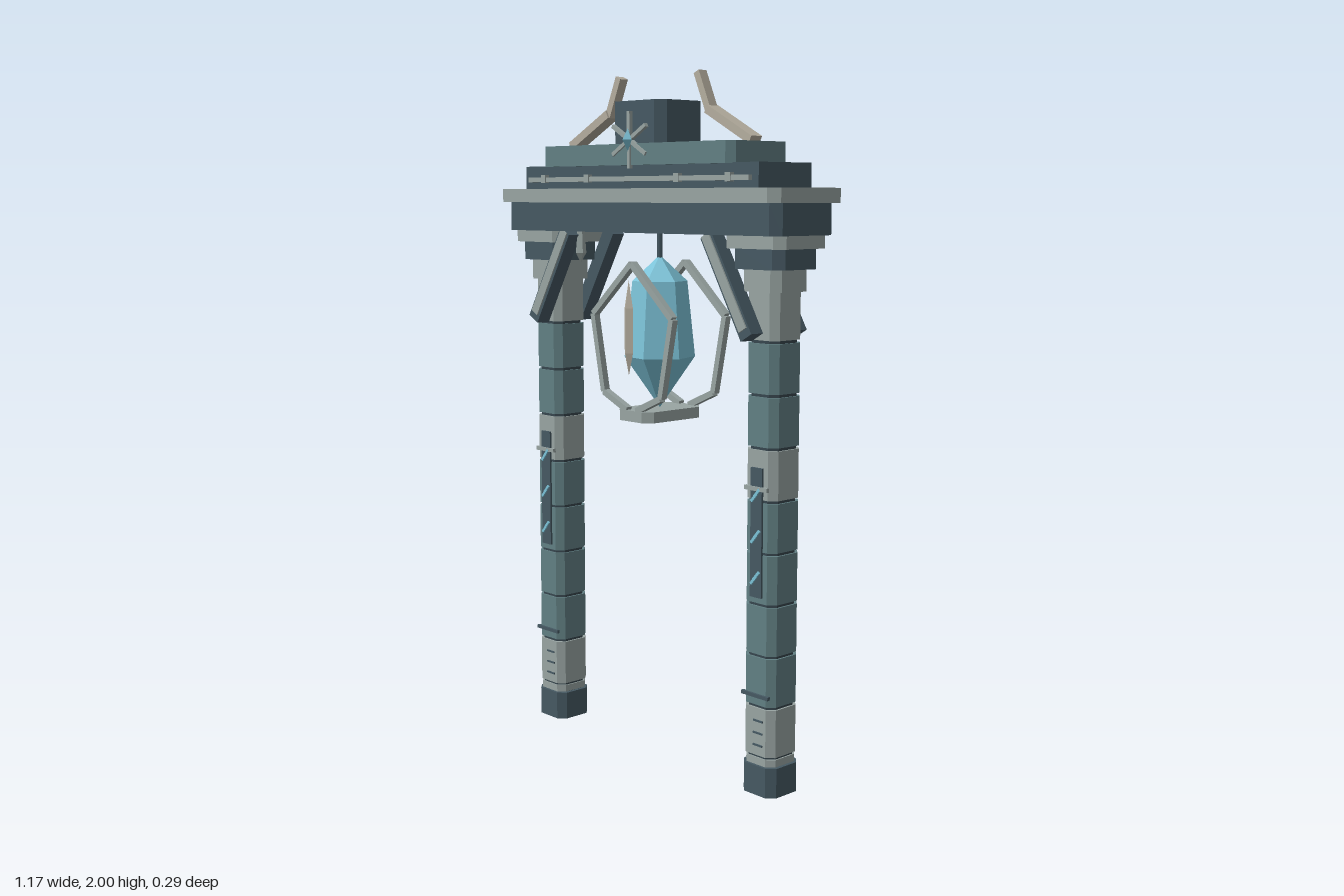
import * as THREE from 'three';

const mat = (name, color) => {
  const m = new THREE.MeshStandardMaterial({ color });
  m.name = name;
  return m;
};

export function createModel() {
  const dark = mat('dark slate', 0x465963);
  const seam = mat('seam slate', 0x37464e);
  const teal = mat('teal stone', 0x628084);
  const light = mat('pale stone', 0x99a5a3);
  const bone = mat('warm bone', 0xb5ae9f);
  const blue = mat('crystal blue', 0x7cc3d8);

  const model = new THREE.Group();
  const add = (parent, name, geo, material, x = 0, y = 0, z = 0) => {
    const mesh = new THREE.Mesh(geo, material);
    mesh.name = name;
    mesh.position.set(x, y, z);
    parent.add(mesh);
    return mesh;
  };
  const group = (name, parent = model) => {
    const g = new THREE.Group();
    g.name = name;
    parent.add(g);
    return g;
  };

  // Block with cut vertical corners, standing from y0 to y1
  const block = (parent, name, material, w, d, y0, y1, c, x = 0, z = 0) => {
    const a = w / 2, b = d / 2;
    const pts = [[a - c, -b], [a, c - b], [a, b - c], [a - c, b], [c - a, b], [-a, b - c], [-a, c - b], [c - a, -b]];
    const shape = new THREE.Shape(pts.map(p => new THREE.Vector2(...p)));
    const geo = new THREE.ExtrudeGeometry(shape, { depth: y1 - y0, bevelEnabled: false });
    geo.rotateX(-Math.PI / 2);
    return add(parent, name, geo, material, x, y0, z);
  };
  const box = (parent, name, material, w, h, d, x, y, z) =>
    add(parent, name, new THREE.BoxGeometry(w, h, d), material, x, y, z);
  // Straight bar between two points in the xy plane
  const bar = (parent, name, material, p, q, w, d, z) => {
    const dx = q[0] - p[0], dy = q[1] - p[1];
    const m = box(parent, name, material, w, Math.hypot(dx, dy), d, (p[0] + q[0]) / 2, (p[1] + q[1]) / 2, z);
    m.rotation.z = Math.atan2(-dx, dy);
    return m;
  };
  const faceted = (profile, sides) => {
    const geo = new THREE.LatheGeometry(profile.map(p => new THREE.Vector2(...p)), sides).toNonIndexed();
    geo.computeVertexNormals();
    return geo;
  };

  // Pillars
  for (const s of [-1, 1]) {
    const px = s * 0.456;
    const pillar = group(s > 0 ? 'leftPillar' : 'rightPillar');
    block(pillar, 'core', seam, 0.104, 0.108, 0.02, 1.5, 0.02, px);
    block(pillar, 'base', dark, 0.125, 0.125, 0, 0.085, 0.022, px);
    block(pillar, 'baseCollar', light, 0.112, 0.116, 0.087, 0.108, 0.02, px);
    for (let i = 0; i < 9; i++) {
      const y = 0.115 + i * 0.1445;
      const material = [0, 5, 8].includes(i) ? light : teal;
      block(pillar, 'stoneBlock', material, 0.115, 0.12, y, y + 0.136, 0.02, px);
    }
    // Stepped capital
    block(pillar, 'capitalNeck', light, 0.14, 0.14, 1.4, 1.46, 0.022, px);
    block(pillar, 'capital', dark, 0.185, 0.17, 1.46, 1.52, 0.025, px);
    block(pillar, 'capitalCap', light, 0.22, 0.2, 1.515, 1.55, 0.025, px);

    for (const f of [-1, 1]) {
      // Inlaid panel with glowing marks
      box(pillar, 'panel', dark, 0.042, 0.36, 0.008, px, 0.745, f * 0.062);
      for (const y of [0.62, 0.735, 0.85]) {
        const z = f * 0.067;
        bar(pillar, 'glowMark', blue, [px - 0.015, y - 0.018], [px + 0.004, y + 0.004], 0.008, 0.008, z);
        bar(pillar, 'glowMark', blue, [px - 0.004, y - 0.004], [px + 0.015, y + 0.018], 0.008, 0.008, z);
      }
      // Diagonal brace
      const p = [s * 0.455, 1.28], q = [s * 0.3, 1.55];
      bar(pillar, 'brace', dark, p, q, 0.045, 0.045, f * 0.087);
      if (f > 0) bar(pillar, 'braceFace', light, [s * 0.445, 1.3], q, 0.03, 0.006, 0.111);
    }
    // Front clasps and carved ticks
    box(pillar, 'clasp', light, 0.085, 0.012, 0.01, px, 0.868, 0.065);
    box(pillar, 'band', dark, 0.1, 0.01, 0.01, px, 0.287, 0.062);
    for (const y of [0.145, 0.18, 0.215])
      box(pillar, 'carvedTick', dark, 0.035, 0.005, 0.005, px + 0.01, y, 0.061);
    // Hanging spike
    add(pillar, 'pendant', faceted([[0, -0.05], [0.017, -0.02], [0.012, 0.05], [0, 0.05]], 5), light, s * 0.285, 1.505, 0.06);
  }

  // Lintel and stepped roof
  const roof = group('roof');
  block(roof, 'lintel', dark, 1.14, 0.24, 1.55, 1.635, 0.025);
  block(roof, 'cornice', light, 1.166, 0.284, 1.635, 1.675, 0.026);
  box(roof, 'lowerStep', dark, 0.98, 0.067, 0.205, 0, 1.7085, 0);
  block(roof, 'upperStep', teal, 0.8, 0.232, 1.74, 1.8, 0.02);
  block(roof, 'crownBlock', dark, 0.216, 0.18, 1.8, 1.92, 0.026, 0, -0.008 + 0.016);
  for (const f of [-1, 1]) {
    box(roof, 'rail', light, 0.93, 0.014, 0.014, 0, 1.702, f * 0.108);
    for (const x of [-0.39, -0.19, 0.19, 0.39])
      box(roof, 'railStud', light, 0.02, 0.024, 0.02, x, 1.704, f * 0.108);
    // Six-armed star ornament
    const z = f > 0 ? 0.116 : -0.087;
    for (let i = 0; i < 3; i++) {
      const a = Math.PI / 6 + i * Math.PI / 3, r = 0.08;
      const v = [Math.cos(a) * r, Math.sin(a) * r];
      bar(roof, 'starArm', light, [-v[0], 1.81 - v[1]], [v[0], 1.81 + v[1]], 0.011, 0.012, z);
    }
  }
  const gem = add(roof, 'starGem', new THREE.OctahedronGeometry(1), blue, 0, 1.81, 0.123);
  gem.scale.set(0.016, 0.032, 0.02);

  // Bent horns
  for (const s of [-1, 1]) {
    bar(roof, 'hornBase', bone, [s * 0.378, 1.803], [s * 0.208, 1.892], 0.024, 0.042, 0);
    bar(roof, 'hornTip', bone, [s * 0.212, 1.885], [s * 0.164, 1.995], 0.022, 0.03, 0);
  }

  // Hanging crystal and its cage
  const lantern = group('lantern');
  add(lantern, 'hangingRod', new THREE.CylinderGeometry(0.008, 0.008, 0.1, 6), dark, 0, 1.51, 0);
  add(lantern, 'crystal', faceted([[0, 1.04], [0.103, 1.19], [0.08, 1.41], [0, 1.485]], 6), blue)
    .rotation.y = Math.PI / 9;
  block(lantern, 'tray', light, 0.145, 0.23, 1.008, 1.04, 0.025);
  const path = [[0, 1.462], [0.168, 1.312], [0.122, 1.085], [0.02, 1.04]];
  for (const f of [-1, 1])
    for (const s of [-1, 1])
      for (let i = 0; i < 3; i++) {
        const [a, b] = [path[i], path[i + 1]];
        bar(lantern, 'cageArm', light, [s * a[0], a[1]], [s * b[0], b[1]], 0.018, 0.02, f * 0.105);
      }
  // Slim shard in front of the crystal
  const shard = add(lantern, 'shard', faceted([[0, -0.135], [0.018, -0.07], [0.018, 0.06], [0, 0.14]], 4), bone, -0.018, 1.275, 0.105);
  shard.scale.z = 0.7;

  return model;
}
